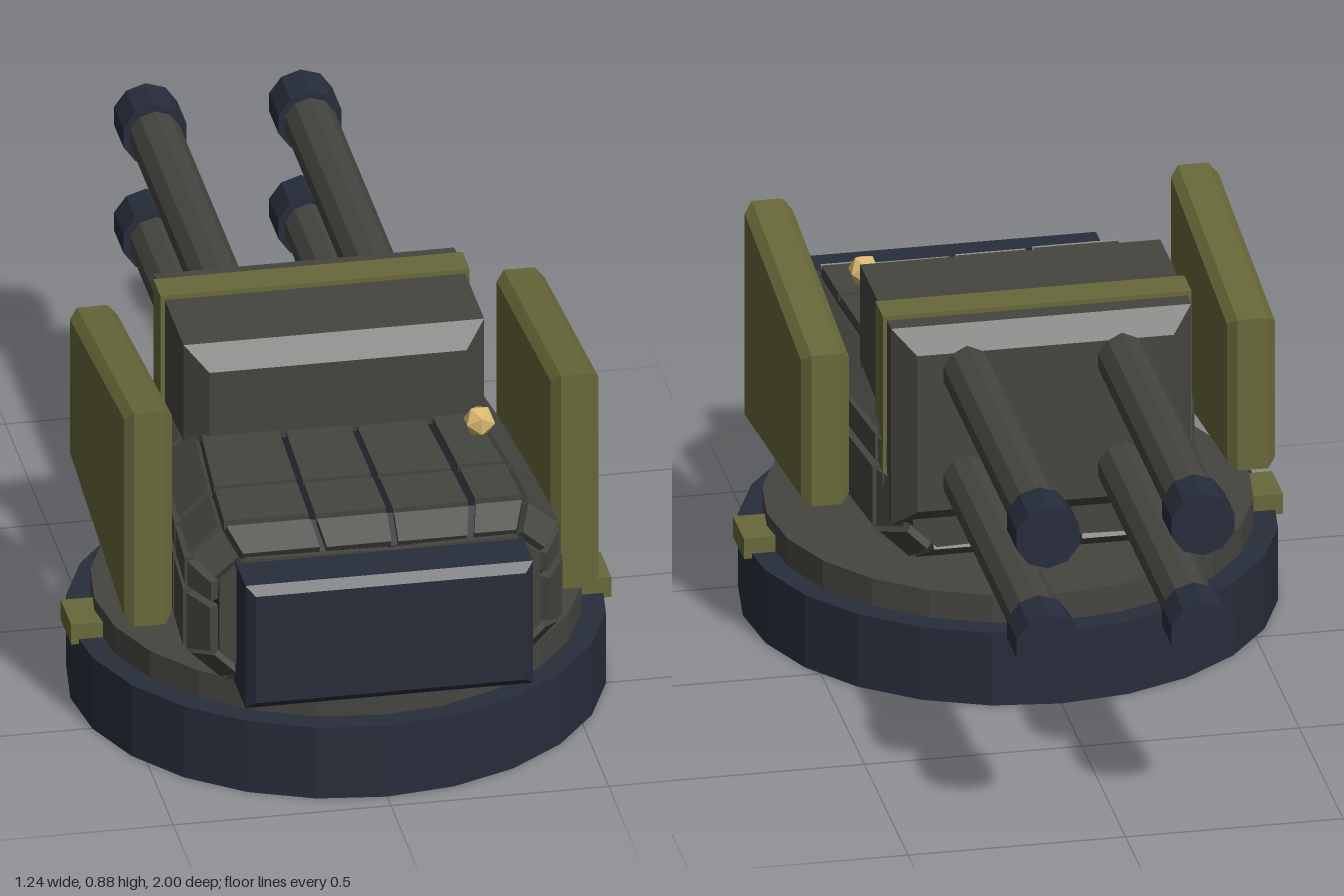
import * as THREE from 'three';

const paint = (color, extra = {}) =>
  new THREE.MeshStandardMaterial({ color, flatShading: true, ...extra });

export function createModel() {
  const model = new THREE.Group();
  const steel = paint(0x454540);
  const navy = paint(0x272d3b);
  const groove = paint(0x1e222b);
  const olive = paint(0x68683a);
  const gold = paint(0xd9b870);

  function add(name, geometry, material, x = 0, y = 0, z = 0) {
    const mesh = new THREE.Mesh(geometry, material);
    mesh.name = name;
    mesh.position.set(x, y, z);
    model.add(mesh);
    return mesh;
  }

  // Prism with bevelled edges: the outline is pulled in so the bevel ends on it
  function bevelPrism(points, depth, bevel) {
    const shape = new THREE.Shape(points.map(([x, y]) => new THREE.Vector2(x, y)));
    const geometry = new THREE.ExtrudeGeometry(shape, {
      depth: depth - 2 * bevel, bevelEnabled: true, bevelSegments: 1,
      bevelSize: bevel, bevelThickness: bevel, bevelOffset: -bevel,
    });
    return geometry.translate(0, 0, bevel);
  }
  const bevelBox = (w, y0, y1, depth, bevel) =>
    bevelPrism([[-w, y0], [w, y0], [w, y1], [-w, y1]], depth, bevel);

  // Round base and turning ring
  const cz = 0.345;
  add('base', new THREE.CylinderGeometry(0.61, 0.61, 0.18, 24), navy, 0, 0.09, cz);
  add('turningRing', new THREE.CylinderGeometry(0.555, 0.555, 0.07, 24), steel, 0, 0.213, cz);
  for (const s of [-1, 1]) {
    add('baseLug', new THREE.BoxGeometry(0.14, 0.05, 0.125), olive, s * 0.55, 0.193, cz);
  }

  // Hull cross-sections, front to back: z, half width, height scale
  const sections = [
    [0.87, 0.38, 0.76], [0.79, 0.43, 1], [0.62, 0.42, 1],
    [0.3, 0.395, 1], [0.04, 0.365, 1], [-0.05, 0.31, 0.7],
  ];
  const midY = 0.445;
  const rings = sections.map(([z, W, k]) => {
    const w = W - 0.08 * k;
    return [
      [W, -0.115], [W, 0.045], [W, 0.125],
      [w, 0.195], [0.65 * w, 0.195], [0.11 * w, 0.195], [-0.4 * w, 0.195], [-w, 0.195],
      [-W, 0.125], [-W, 0.045], [-W, -0.115],
      [-w, -0.195], [-0.33 * w, -0.195], [0.33 * w, -0.195], [w, -0.195],
    ].map(([x, y]) => new THREE.Vector3(x, midY + y * k, z));
  });

  // Cells of the hull surface, each an outward-facing loop of corners
  const cells = [rings[0], [...rings[rings.length - 1]].reverse()];
  for (let j = 0; j < rings.length - 1; j++) {
    const n = rings[j].length;
    for (let i = 0; i < n; i++) {
      const k = (i + 1) % n;
      cells.push([rings[j][i], rings[j + 1][i], rings[j + 1][k], rings[j][k]]);
    }
  }

  function fromTriangles(triangles) {
    const geometry = new THREE.BufferGeometry().setFromPoints(triangles);
    geometry.computeVertexNormals();
    return geometry;
  }
  const centreOf = (loop) =>
    loop.reduce((sum, p) => sum.add(p), new THREE.Vector3()).divideScalar(loop.length);
  function fan(out, loop) {
    const c = centreOf(loop);
    loop.forEach((p, i) => out.push(c, p, loop[(i + 1) % loop.length]));
  }

  // Dark core seen between the armour tiles
  const core = [];
  cells.forEach((loop) => fan(core, loop));
  const pivot = new THREE.Vector3(0, midY, 0.41);
  const coreGeometry = fromTriangles(core.map((p) =>
    p.clone().sub(pivot).multiply(new THREE.Vector3(0.965, 0.935, 0.97)).add(pivot)));
  add('hullCore', coreGeometry, groove);

  // Raised tiles with a narrow gap around each
  const tiles = [];
  cells.forEach((loop, id) => {
    const c = centreOf(loop);
    const normal = new THREE.Vector3();
    loop.forEach((p, i) => {
      const q = loop[(i + 1) % loop.length];
      normal.add(p.clone().sub(c).cross(q.clone().sub(c)));
    });
    normal.normalize();
    const lift = ((id * 7) % 3) * 0.003;
    const top = loop.map((p, i) => {
      const a = loop[(i + loop.length - 1) % loop.length].clone().sub(p).normalize();
      const b = loop[(i + 1) % loop.length].clone().sub(p).normalize();
      const inward = loop.length > 4 ? c.clone().sub(p).normalize().multiplyScalar(0.012)
        : a.add(b).multiplyScalar(0.008);
      return p.clone().add(inward).addScaledVector(normal, lift);
    });
    const foot = top.map((p) => p.clone().addScaledVector(normal, -0.025));
    fan(tiles, top);
    top.forEach((p, i) => {
      const k = (i + 1) % top.length;
      tiles.push(p, foot[i], foot[k], p, foot[k], top[k]);
    });
  });
  add('hullTiles', fromTriangles(tiles), steel);

  // Front box, gun housing and the band across it
  add('frontBox', bevelBox(0.33, 0.27, 0.58, 0.18, 0.02), navy, 0, 0, 0.82);
  add('gunHousing', bevelBox(0.345, 0.37, 0.857, 0.455, 0.05), steel, 0, 0, -0.085);
  add('housingBand', new THREE.BoxGeometry(0.71, 0.42, 0.085), olive, 0, 0.658, 0.053);

  // Tapered side shields, outlined in z and y
  const shield = bevelPrism(
    [[-0.665, 0.335], [0.018, 0.425], [0.018, 0.798], [-0.665, 0.876]], 0.11, 0.02);
  shield.translate(0, 0, -0.055).rotateY(Math.PI / 2);
  for (const s of [-1, 1]) add('sideShield', shield, olive, s * 0.49, 0, 0);

  // Four barrels with muzzles
  const barrel = new THREE.CylinderGeometry(0.06, 0.06, 0.87, 10).rotateX(Math.PI / 2);
  const muzzle = new THREE.CylinderGeometry(0.076, 0.076, 0.11, 10).rotateX(Math.PI / 2);
  for (const x of [-0.178, 0.178]) {
    for (const y of [0.758, 0.49]) {
      add('barrel', barrel, steel, x, y, -0.475);
      add('muzzle', muzzle, navy, x, y, -0.945);
    }
  }

  // Small lamp above the hull
  add('lamp', new THREE.IcosahedronGeometry(0.038, 0), gold, 0.287, 0.728, 0.565);

  return model;
}
